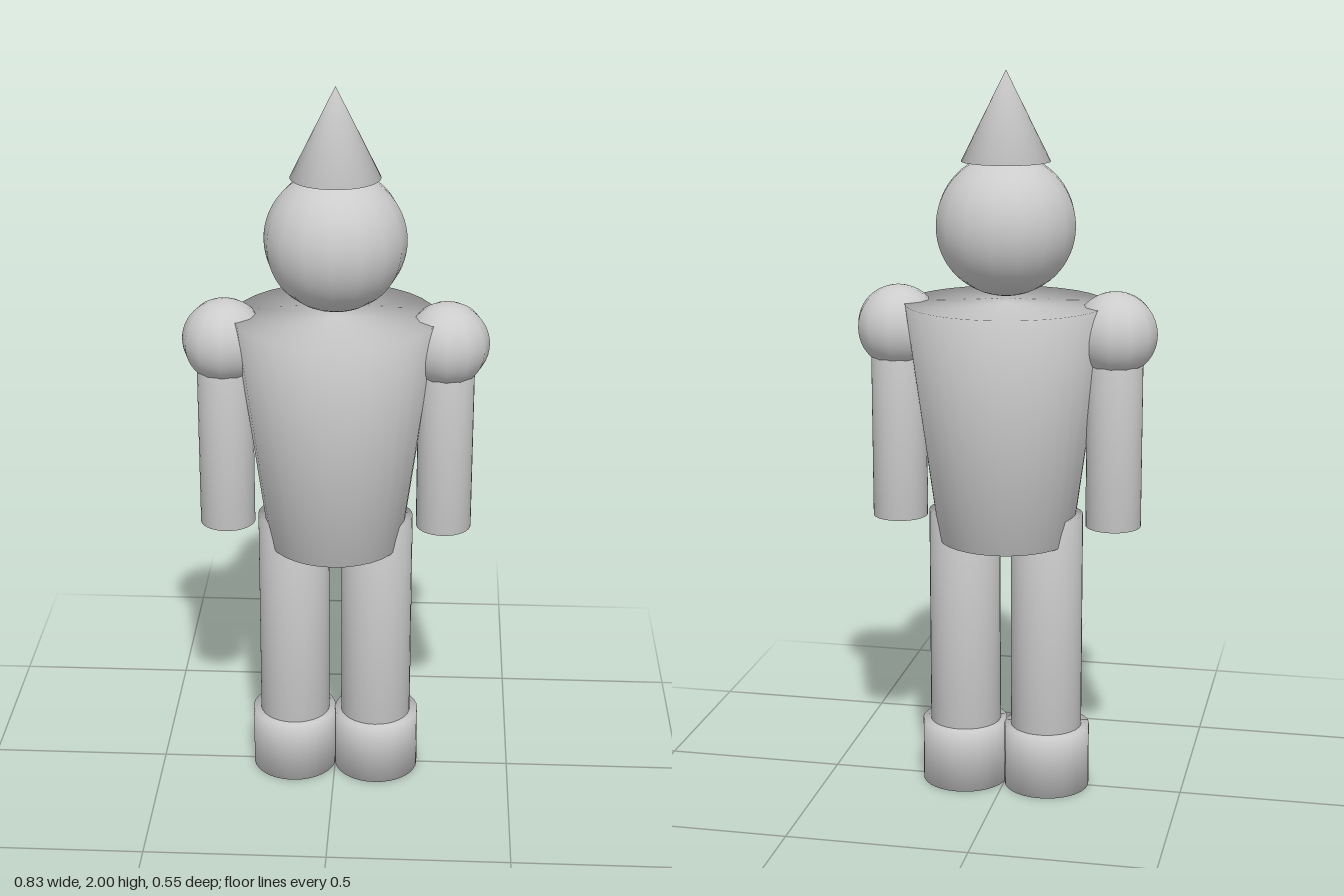
import * as THREE from 'three';

const grey = new THREE.MeshStandardMaterial({ color: 0xcccccc });
grey.name = 'plain grey';

// Closed round solid from y0 to y1, with normals blended softly over its rims
function solid(r0, r1, y0, y1, sides = 32) {
  const profile = [[0, y0], [r0, y0], [r1, y1]];
  if (r1 > 0) profile.push([0, y1]);
  const geo = new THREE.LatheGeometry(profile.map(([x, y]) => new THREE.Vector2(x, y)), sides);
  const pos = geo.attributes.position;
  for (let i = 0; i < pos.count; i++) {
    if (Math.hypot(pos.getX(i), pos.getZ(i)) < 1e-5) {
      geo.attributes.normal.setXYZ(i, 0, pos.getY(i) > (y0 + y1) / 2 ? 1 : -1, 0);
    }
  }
  return geo;
}

export function createModel() {
  const group = new THREE.Group();
  const add = (name, geo, x = 0, y = 0) => {
    const mesh = new THREE.Mesh(geo, grey);
    mesh.name = name;
    mesh.position.set(x, y, 0);
    group.add(mesh);
  };

  // Centre line
  add('torso', solid(0.185, 0.275, 0.72, 1.38));
  add('head', new THREE.SphereGeometry(0.19, 16, 32), 0, 1.59);
  add('hat', solid(0.12, 0, 1.76, 2));

  // Mirrored limbs
  for (const [side, s] of [['left', 1], ['right', -1]]) {
    add(side + 'Shoulder', new THREE.SphereGeometry(0.114, 12, 24), s * 0.3, 1.305);
    add(side + 'Arm', solid(0.076, 0.076, 0.77, 1.3), s * 0.3);
    add(side + 'Leg', solid(0.099, 0.099, 0.18, 0.795), s * 0.116);
    add(side + 'Foot', solid(0.119, 0.119, 0, 0.18), s * 0.118);
  }
  return group;
}
